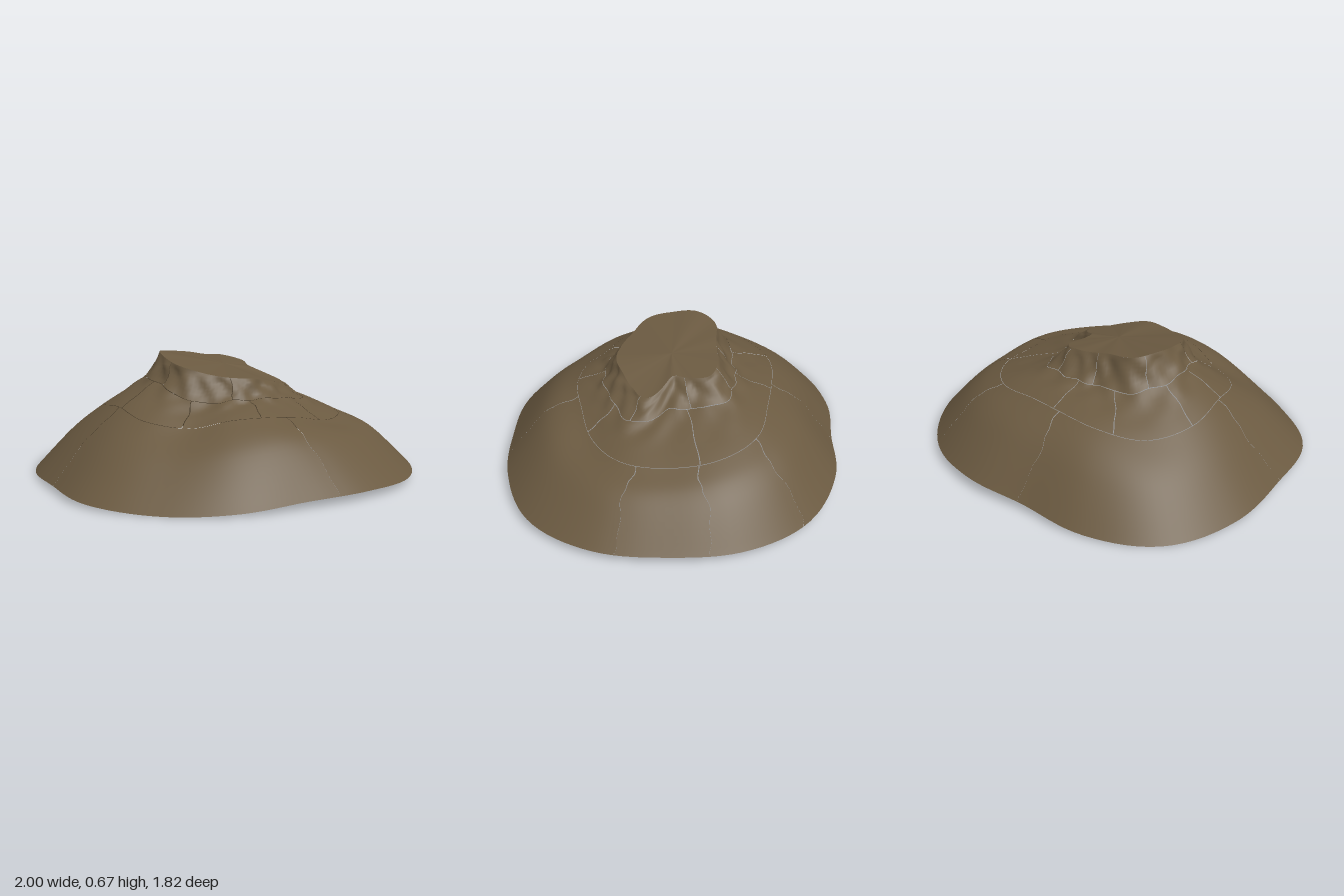
import * as THREE from 'three';

// Contours around the mound, every 22.5 degrees from +x towards +z
const contours = [
  { // rim
    r: [0.995, 1.03, 1.03, 0.955, 0.9, 0.935, 0.975, 1.035, 1.0, 1.04, 1.06, 0.985, 0.905, 0.965, 1.02, 1.02],
    y: [0.04, 0.04, 0.035, 0.045, 0.04, 0.015, 0.002, 0.02, 0.03, 0.012, 0.002, 0.015, 0.045, 0.06, 0.04, 0.04],
  },
  { // shoulder
    r: [0.64, 0.64, 0.58, 0.52, 0.52, 0.52, 0.55, 0.62, 0.62, 0.66, 0.66, 0.60, 0.55, 0.56, 0.64, 0.66],
    y: [0.32, 0.315, 0.32, 0.365, 0.39, 0.385, 0.345, 0.37, 0.41, 0.38, 0.36, 0.39, 0.41, 0.41, 0.38, 0.35],
  },
  { // foot of the crag
    r: [0.31, 0.42, 0.40, 0.37, 0.37, 0.37, 0.40, 0.42, 0.42, 0.44, 0.42, 0.36, 0.34, 0.37, 0.39, 0.34],
    y: [0.455, 0.42, 0.43, 0.455, 0.46, 0.46, 0.45, 0.50, 0.54, 0.53, 0.50, 0.49, 0.49, 0.49, 0.48, 0.46],
  },
  { // plateau edge
    r: [0.18, 0.31, 0.29, 0.28, 0.30, 0.30, 0.31, 0.35, 0.345, 0.35, 0.33, 0.26, 0.245, 0.27, 0.28, 0.20],
    y: [0.565, 0.505, 0.515, 0.54, 0.56, 0.57, 0.59, 0.625, 0.65, 0.67, 0.655, 0.64, 0.62, 0.61, 0.585, 0.57],
  },
];

const { lerp, degToRad, smoothstep } = THREE.MathUtils;

function spline(a, b, c, d, t) {
  return b + 0.5 * t * (c - a + t * (2 * a - 5 * b + 4 * c - d + t * (3 * (b - c) + d - a)));
}

// Smooth value of a closed contour at an angle in degrees
function around(list, deg) {
  const s = (((deg % 360) + 360) % 360) / 22.5;
  const i = Math.floor(s);
  const at = (k) => list[(i + k + 16) % 16];
  return spline(at(-1), at(0), at(1), at(2), s - i);
}

// Point on the rock: v = 0 rim, 2 shoulder, 3 crag foot, 4 plateau edge, 5 centre
function rockPoint(deg, v) {
  const [rim, shoulder, foot, edge] = contours.map((c) => [around(c.r, deg), around(c.y, deg)]);
  const a = degToRad(deg);
  const bulge = 0.044 - 0.011 * Math.cos(2 * a) + 0.0125 * Math.cos(a) + 0.005 * Math.sin(a);
  const flank = [lerp(rim[0], shoulder[0], 0.53), lerp(rim[1], shoulder[1], 0.53) + bulge];
  const rows = [rim, flank, shoulder, foot, edge];
  let r, y;
  if (v > 4) {
    r = edge[0] * (5 - v);
    y = lerp(edge[1], 0.6, v - 4);
  } else {
    const i = Math.min(Math.floor(v), 3);
    const at = (k, n) => rows[THREE.MathUtils.clamp(i + k, 0, 4)][n];
    [r, y] = [0, 1].map((n) => spline(at(-1, n), at(0, n), at(1, n), at(2, n), v - i));
    // Broken ledges on the upper slopes
    const rough = smoothstep(v, 2.2, 3) * (1 - smoothstep(v, 3.6, 4));
    r += rough * 0.007 * (Math.sin(9 * a + 3 * v) + Math.sin(17 * a - 5 * v));
    y += rough * 0.005 * Math.sin(13 * a + 7 * v);
  }
  return [r * Math.cos(a), y, r * Math.sin(a)];
}

// Sheet of rock between two wandering cracks and two contours
function rockSheet(name, material, from, to, low, high, rows) {
  const cols = Math.max(4, Math.round((to - from) / 3));
  const position = [], index = [];
  const wander = (edge, v) => 0.9 * Math.sin(v * 4 + edge) + 0.4 * Math.sin(v * 11 + edge);
  const isRing = to - from >= 360;
  for (let j = 0; j <= rows; j++) {
    const v = lerp(low, high, j / rows);
    const gap = isRing ? 0 : 0.02 + 0.2 * smoothstep(v, 0.3, 2.5);
    const u0 = from + (isRing ? 0 : wander(from % 360, v)) + gap;
    const u1 = to + (isRing ? 0 : wander(to % 360, v)) - gap;
    for (let i = 0; i <= cols; i++) {
      position.push(...rockPoint(lerp(u0, u1, i / cols), v));
      if (i < cols && j < rows) {
        const a = j * (cols + 1) + i, c = a + cols + 1;
        index.push(a, c, a + 1, a + 1, c, c + 1);
      }
    }
  }
  const geometry = new THREE.BufferGeometry();
  geometry.setAttribute('position', new THREE.Float32BufferAttribute(position, 3));
  geometry.setIndex(index);
  geometry.computeVertexNormals();
  const mesh = new THREE.Mesh(geometry, material);
  mesh.name = name;
  return mesh;
}

export function createModel() {
  const model = new THREE.Group();
  model.name = 'rockMound';
  const rock = new THREE.MeshStandardMaterial({ color: 0x6b5a41, side: THREE.DoubleSide });
  rock.name = 'brown rock';

  // Slopes, broken shelf and crag, each split along radial cracks
  const layers = [
    { name: 'slope', cracks: [16, 79, 180, 271, 317, 347], low: 0, high: 2, rows: 18 },
    { name: 'shelf', cracks: [50, 95, 140, 178, 203, 240, 275, 345], low: 2.01, high: 2.985, rows: 8 },
    { name: 'crag', cracks: [30, 110, 168, 215, 262, 300, 340], low: 3, high: 4, rows: 8 },
  ];
  for (const { name, cracks, low, high, rows } of layers) {
    const group = new THREE.Group();
    group.name = name;
    cracks.forEach((from, k) => {
      const to = k + 1 < cracks.length ? cracks[k + 1] : cracks[0] + 360;
      group.add(rockSheet(`${name}Slab${k + 1}`, rock, from, to, low, high, rows));
    });
    model.add(group);
  }

  // Flat broken top
  model.add(rockSheet('plateau', rock, 0, 360, 4, 5, 6));
  return model;
}
